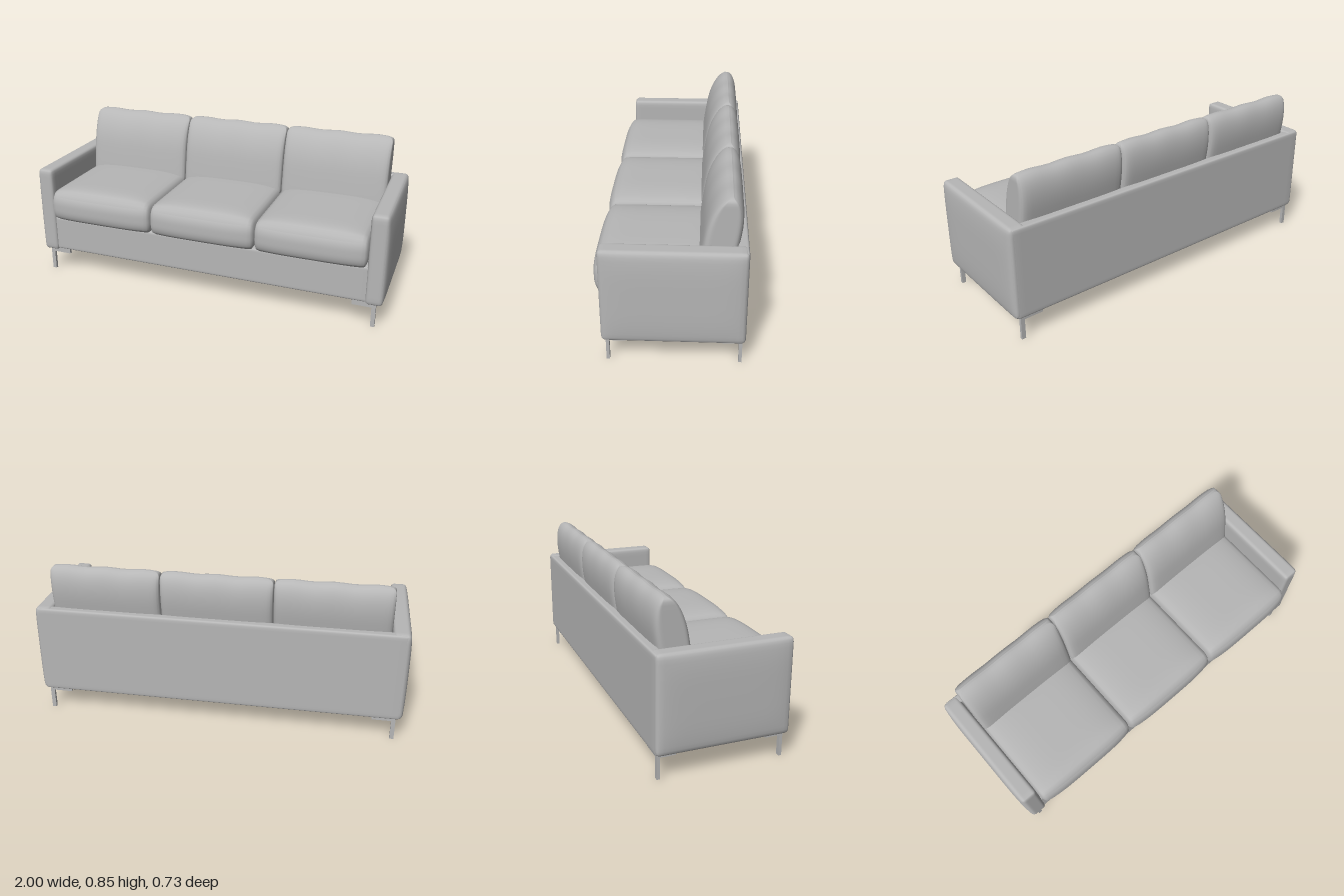
import * as THREE from 'three';
import { mergeVertices } from 'three/addons/utils/BufferGeometryUtils.js';

const fabric = new THREE.MeshStandardMaterial({ color: 0xb6b6b6 });
fabric.name = 'grey upholstery';

// Smooth box: half sizes h, edge radii r, then shape(p, u) bends each point;
// u holds the point's position from -1 to 1 on each axis.
function softBox(h, r, shape, n = 20) {
  let geo = new THREE.BoxGeometry(2, 2, 2, n, n, n);
  geo.deleteAttribute('uv');
  geo.deleteAttribute('normal');
  geo = mergeVertices(geo);
  const pos = geo.attributes.position;
  const p = new THREE.Vector3();
  for (let i = 0; i < pos.count; i++) {
    // crowd the points towards the edges
    const u = [pos.getX(i), pos.getY(i), pos.getZ(i)].map((c) => Math.sin(c * Math.PI / 2));
    const d = u.map((c, k) => Math.max(0, (Math.abs(c) * h[k] - h[k] + r[k]) / r[k]));
    const len = Math.hypot(...d);
    const s = len > 0 ? Math.max(...d) / len : 1;
    p.fromArray(u.map((c, k) => d[k] > 0 ? Math.sign(c) * (h[k] - r[k] + r[k] * d[k] * s) : c * h[k]));
    if (shape) shape(p, u);
    pos.setXYZ(i, p.x, p.y, p.z);
  }
  geo.computeVertexNormals();
  return geo;
}

function add(parent, name, geo, x, y, z) {
  const mesh = new THREE.Mesh(geo, fabric);
  mesh.name = name;
  mesh.position.set(x, y, z);
  parent.add(mesh);
}

const fade = (c, power) => 1 - Math.pow(Math.abs(c), power);

// Seat cushion: crowned top and a bulging front
function seatCushion(width) {
  return softBox([width / 2, 0.083, 0.297], [0.022, 0.07, 0.042], (p, u) => {
    if (u[1] > 0) p.y += 0.03 * u[1] * fade(u[0], 4) * fade(u[2], 8);
    if (u[2] > 0) p.z += 0.02 * Math.pow(u[2], 3) * fade(u[0], 4);
  });
}

// Back cushion: plump below, leaning back and narrowing to a rounded top
function backCushion(width) {
  return softBox([width / 2, 0.19, 1], [0.03, 0.025, 0.3], (p, u) => {
    const t = (p.y + 0.19) / 0.38;
    const k = Math.max(0, (t - 0.45) / 0.55);
    const half = Math.max(0.01, 0.088 * Math.sqrt(Math.max(0, 1 - Math.pow(k, 2.3))));
    const mid = -0.22 - 0.06 * Math.pow(Math.max(0, t), 1.2);
    p.z = mid + p.z * half * (1 - 0.1 * Math.pow(Math.abs(u[0]), 6));
    p.y += 0.003 * Math.cos(u[0] * 9) * t;
  });
}

export function createModel() {
  const sofa = new THREE.Group();
  sofa.name = 'sofa';

  // Frame
  add(sofa, 'seatBase', softBox([0.91, 0.1, 0.325], [0.012, 0.012, 0.012]), 0, 0.238, -0.018);
  add(sofa, 'backPanel', softBox([0.975, 0.245, 0.026], [0.012, 0.014, 0.012]), 0, 0.374, -0.339);

  // Arms, with a slightly swollen outer side
  for (const side of [-1, 1]) {
    const arm = softBox([0.045, 0.2475, 0.341], [0.02, 0.024, 0.022], (p, u) => {
      if (u[0] * side > 0) p.x += side * 0.012 * Math.abs(u[0]) * fade(u[1], 4) * fade(u[2], 8);
    });
    add(sofa, side > 0 ? 'leftArm' : 'rightArm', arm, side * 0.943, 0.3755, -0.023);
  }

  // Three seat and three back cushions
  const edges = [-0.897, -0.288, 0.306, 0.9];
  for (let i = 0; i < 3; i++) {
    const x = (edges[i] + edges[i + 1]) / 2;
    const width = edges[i + 1] - edges[i];
    add(sofa, 'seatCushion', seatCushion(width), x, 0.418, 0.048);
    add(sofa, 'backCushion', backCushion(width - 0.004), x, 0.658, 0);
  }

  // Legs with L-shaped mounting brackets
  for (const sx of [-1, 1]) {
    for (const front of [true, false]) {
      const leg = new THREE.Group();
      leg.name = front ? 'frontLeg' : 'backLeg';
      const dz = front ? -1 : 1;
      add(leg, 'post', new THREE.BoxGeometry(0.022, 0.13, 0.016), 0, 0.065, 0);
      add(leg, 'sideBracket', new THREE.BoxGeometry(0.022, 0.017, 0.095), 0, 0.1195, dz * 0.0395);
      add(leg, 'crossBracket', new THREE.BoxGeometry(0.125, 0.03, 0.016), -sx * 0.0515, 0.126, 0);
      leg.position.set(sx * 0.945, 0, front ? 0.291 : -0.342);
      sofa.add(leg);
    }
  }
  return sofa;
}
